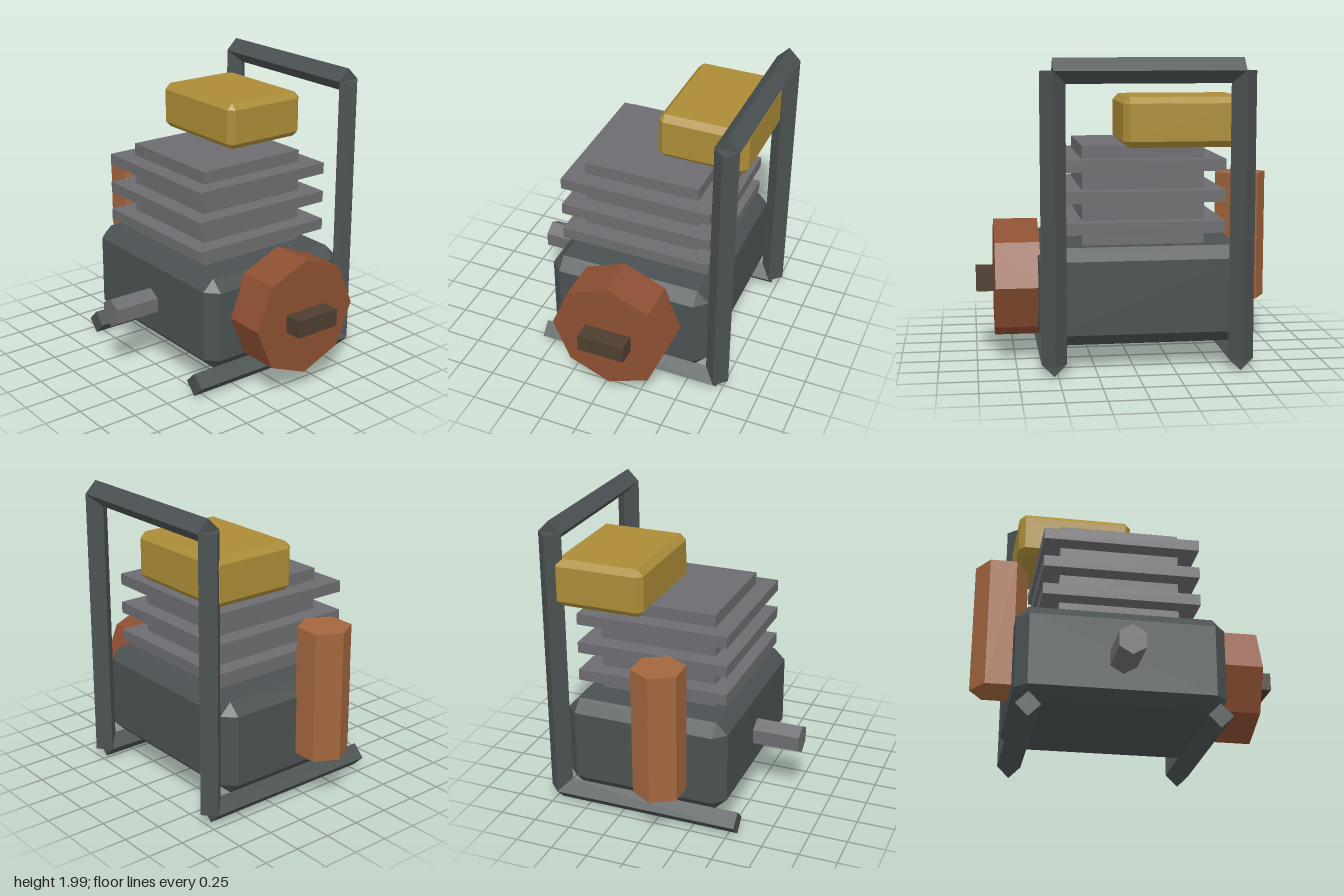
import * as THREE from 'three';
import { ConvexGeometry } from 'three/addons/geometries/ConvexGeometry.js';

export function createModel() {
  const root = new THREE.Group();
  root.name = 'generator';

  const material = (name, color) => {
    const m = new THREE.MeshStandardMaterial({ color });
    m.name = name;
    return m;
  };
  const darkSteel = material('dark steel', 0x4b5152);
  const castGrey = material('cast grey', 0x6d6d71);
  const mustard = material('mustard', 0xab8c37);
  const copper = material('copper', 0xa3663e);
  const rust = material('rust', 0x8d4f32);
  const brown = material('brown', 0x4f3e30);

  const add = (name, geometry, mat, x, y, z) => {
    const mesh = new THREE.Mesh(geometry, mat);
    mesh.name = name;
    mesh.position.set(x, y, z);
    root.add(mesh);
    return mesh;
  };

  // Faceted bar along one axis
  const bar = (radius, length, sides, axis) => {
    const g = new THREE.CylinderGeometry(radius, radius, length, sides).toNonIndexed();
    if (axis === 'x') g.rotateZ(Math.PI / 2);
    if (axis === 'z') g.rotateX(Math.PI / 2);
    g.computeVertexNormals();
    return g;
  };

  // Box with every edge chamfered by c
  const chamferBox = (w, h, d, c) => {
    const points = [];
    for (const sx of [-1, 1]) for (const sy of [-1, 1]) for (const sz of [-1, 1]) {
      const [x, y, z] = [w / 2, h / 2, d / 2];
      points.push(
        new THREE.Vector3(sx * x, sy * (y - c), sz * (z - c)),
        new THREE.Vector3(sx * (x - c), sy * y, sz * (z - c)),
        new THREE.Vector3(sx * (x - c), sy * (y - c), sz * z));
    }
    return new ConvexGeometry(points);
  };

  // Crankcase with drive shaft
  add('crankcase', chamferBox(1.35, 0.63, 1.11, 0.078), darkSteel, -0.07, 0.475, -0.075);
  add('driveShaft', bar(0.098, 0.4, 6, 'z'), castGrey, -0.07, 0.44, 0.6);

  // Cylinder block and cooling fins
  add('cylinderBlock', new THREE.BoxGeometry(0.79, 0.68, 0.79), castGrey, -0.07, 1.09, -0.075);
  for (const y of [0.912, 1.11, 1.31]) {
    add('coolingFin', new THREE.BoxGeometry(1.03, 0.075, 1.03), castGrey, -0.07, y, -0.075);
  }

  // Fuel tank
  add('fuelTank', chamferBox(0.79, 0.315, 0.62, 0.04), mustard, -0.31, 1.588, -0.39);

  // Upright muffler
  add('muffler', bar(0.175, 0.87, 6, 'y'), copper, -0.825, 0.755, 0.08).rotation.y = Math.PI / 6;

  // Recoil starter and its pull handle
  add('recoilHousing', bar(0.395, 0.29, 8, 'x'), rust, 0.735, 0.52, -0.075);
  add('pullHandle', new THREE.BoxGeometry(0.14, 0.118, 0.32), brown, 0.93, 0.517, -0.075);

  // Frame: skids, uprights and carrying bar
  for (const x of [-0.665, 0.525]) {
    add('skid', bar(0.08, 1.265, 4, 'z'), darkSteel, x, 0.08, -0.0775);
    add('upright', bar(0.08, 1.83, 4, 'y'), darkSteel, x, 0.995, -0.71);
  }
  add('carryBar', bar(0.08, 1.19, 4, 'x'), darkSteel, -0.07, 1.91, -0.71);

  return root;
}
